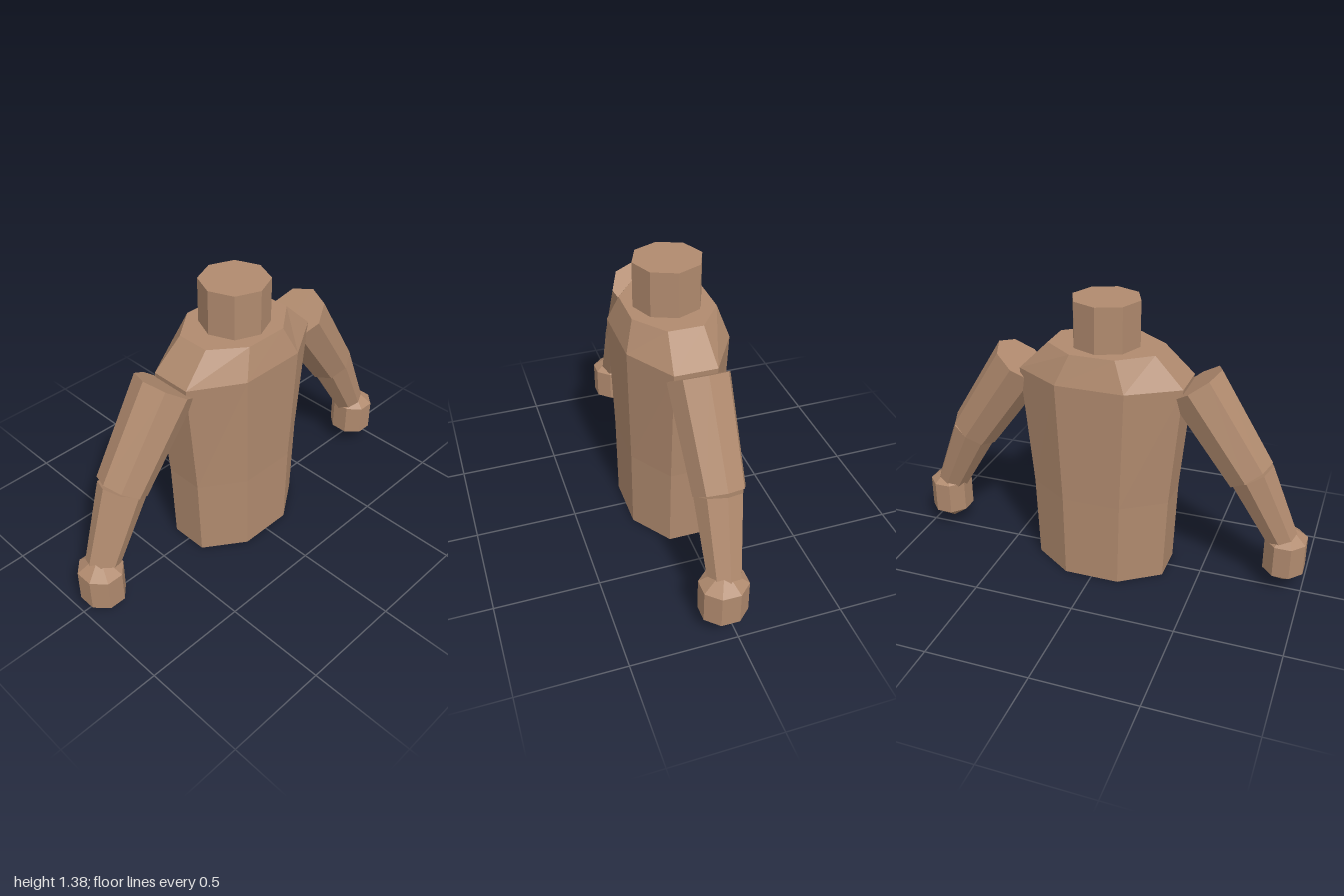
import * as THREE from 'three';

const SIDES = 8;
const HALF_STEP = Math.PI / SIDES;

export function createModel() {
  const root = new THREE.Group();
  root.name = 'torsoWithArms';
  const skin = new THREE.MeshStandardMaterial({ color: 0xb08a6e, flatShading: true });

  const add = (name, geometry, parent = root) => {
    const mesh = new THREE.Mesh(geometry, skin);
    mesh.name = name;
    parent.add(mesh);
    return mesh;
  };

  // Torso: eight-sided column shaped ring by ring [y, half width, half depth], top first
  const rings = [
    [1.16, 0.26, 0.2],
    [1.02, 0.4, 0.245],
    [0.42, 0.345, 0.23],
    [0, 0.328, 0.228],
  ];
  const rows = rings.length - 1;
  const torso = new THREE.CylinderGeometry(1, 1, 1, SIDES, rows, false, HALF_STEP);
  const pos = torso.attributes.position;
  for (let i = 0; i < pos.count; i++) {
    const [y, rx, rz] = rings[Math.round((0.5 - pos.getY(i)) * rows)];
    const k = 1 / Math.cos(HALF_STEP);
    pos.setXYZ(i, pos.getX(i) * rx * k, y, pos.getZ(i) * rz * k);
  }
  torso.computeVertexNormals();
  add('torso', torso);

  // Neck
  add('neck', new THREE.CylinderGeometry(0.165, 0.165, 0.24, SIDES)).position.y = 1.26;

  // Tapered limb segment running from point a down to point b
  const limb = (name, parent, a, b, ra, rb) => {
    const dir = b.clone().sub(a);
    const mesh = add(name, new THREE.CylinderGeometry(ra, rb, dir.length(), SIDES), parent);
    mesh.position.copy(a).add(b).multiplyScalar(0.5);
    mesh.quaternion.setFromUnitVectors(new THREE.Vector3(0, -1, 0), dir.normalize());
  };

  // Arms, mirrored about x = 0
  for (const [label, s] of [['left', 1], ['right', -1]]) {
    const arm = new THREE.Group();
    arm.name = label + 'Arm';
    root.add(arm);
    const shoulder = new THREE.Vector3(0.43 * s, 1.018, 0);
    const elbow = new THREE.Vector3(0.71 * s, 0.607, 0);
    const elbowLow = new THREE.Vector3(0.713 * s, 0.607, 0.005);
    const wrist = new THREE.Vector3(0.89 * s, 0.25, 0.03);
    limb(label + 'UpperArm', arm, shoulder, elbow, 0.145, 0.122);
    limb(label + 'Forearm', arm, elbowLow, wrist, 0.115, 0.078);

    // Fist: three-band sphere with pointed ends
    const fist = add(label + 'Hand', new THREE.SphereGeometry(0.16, SIDES, 3, HALF_STEP), arm);
    fist.scale.set(0.76, 1, 0.82);
    fist.position.set(0.903 * s, 0.18, 0.04);
  }
  return root;
}
